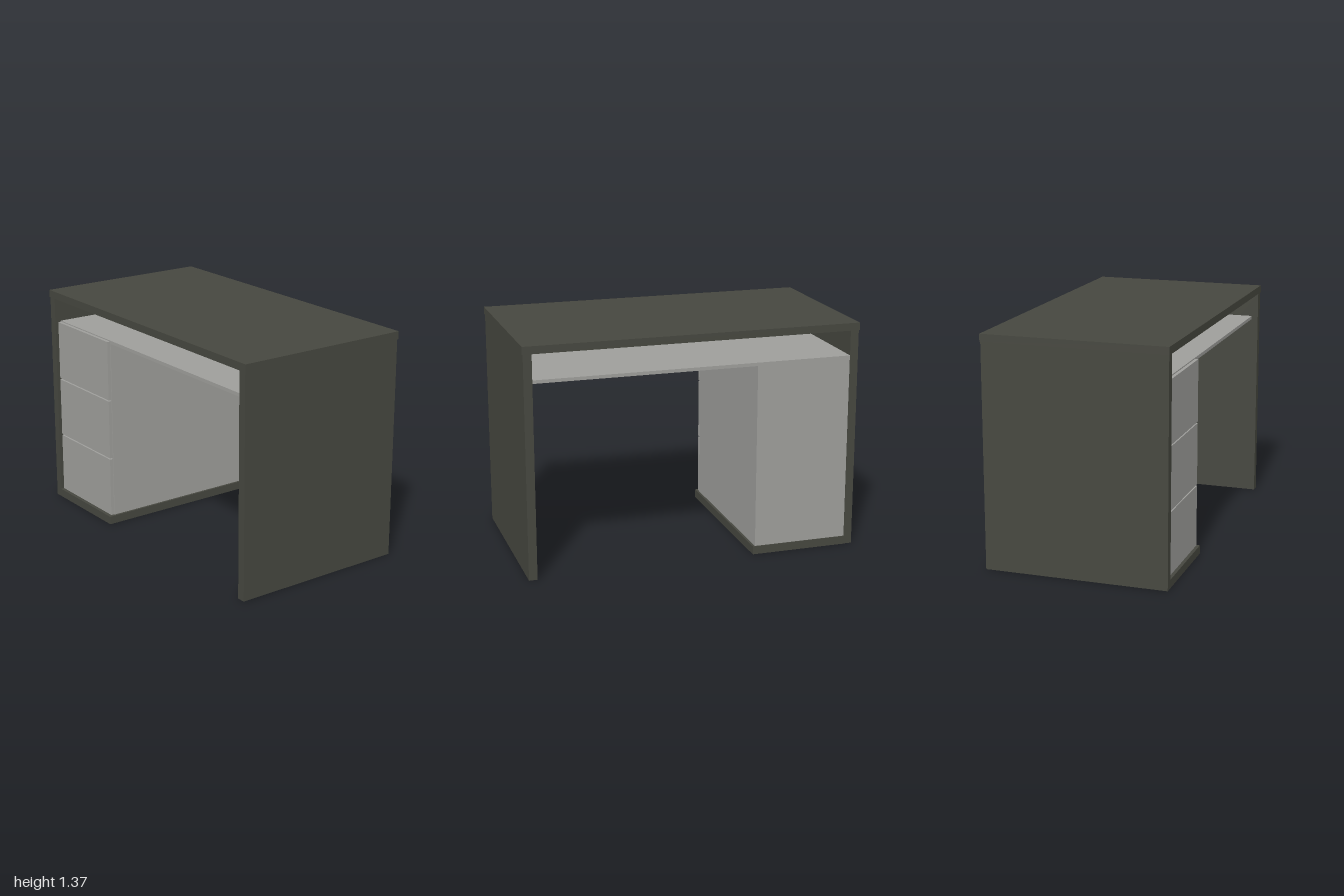
import * as THREE from 'three';

const dark = new THREE.MeshStandardMaterial({ color: 0x46473f });
dark.name = 'darkPanel';
const grey = new THREE.MeshStandardMaterial({ color: 0x9e9e9b });
grey.name = 'greyLaminate';

// Box panel given by its extents along each axis
function panel(name, material, [x0, x1], [y0, y1], [z0, z1]) {
  const mesh = new THREE.Mesh(new THREE.BoxGeometry(x1 - x0, y1 - y0, z1 - z0), material);
  mesh.name = name;
  mesh.position.set((x0 + x1) / 2, (y0 + y1) / 2, (z0 + z1) / 2);
  return mesh;
}

export function createModel() {
  const desk = new THREE.Group();
  desk.name = 'desk';

  // Worktop and full-depth side panels
  desk.add(
    panel('worktop', dark, [-1, 1], [1.32, 1.365], [-0.543, 0.543]),
    panel('leftSidePanel', dark, [0.945, 0.995], [0, 1.32], [-0.54, 0.54]),
    panel('rightSidePanel', dark, [-0.995, -0.945], [0, 1.32], [-0.54, 0.54]),
  );

  // Open shelf below the worktop
  desk.add(panel('shelf', grey, [-0.945, 0.945], [1.152, 1.172], [-0.54, 0.5]));

  // Drawer cabinet on its plinth
  const cabinet = new THREE.Group();
  cabinet.name = 'drawerCabinet';
  cabinet.add(
    panel('plinth', dark, [-0.945, -0.36], [0, 0.05], [-0.543, 0.54]),
    panel('cabinetBody', grey, [-0.945, -0.374], [0.05, 1.152], [-0.538, 0.498]),
  );

  // Three drawer fronts with narrow gaps
  const pitch = 0.374, gap = 0.008;
  for (let i = 0; i < 3; i++) {
    const y = 0.053 + i * pitch;
    cabinet.add(panel(`drawerFront${i + 1}`, grey, [-0.94, -0.374], [y, y + pitch - gap], [0.502, 0.522]));
  }
  desk.add(cabinet);
  return desk;
}
